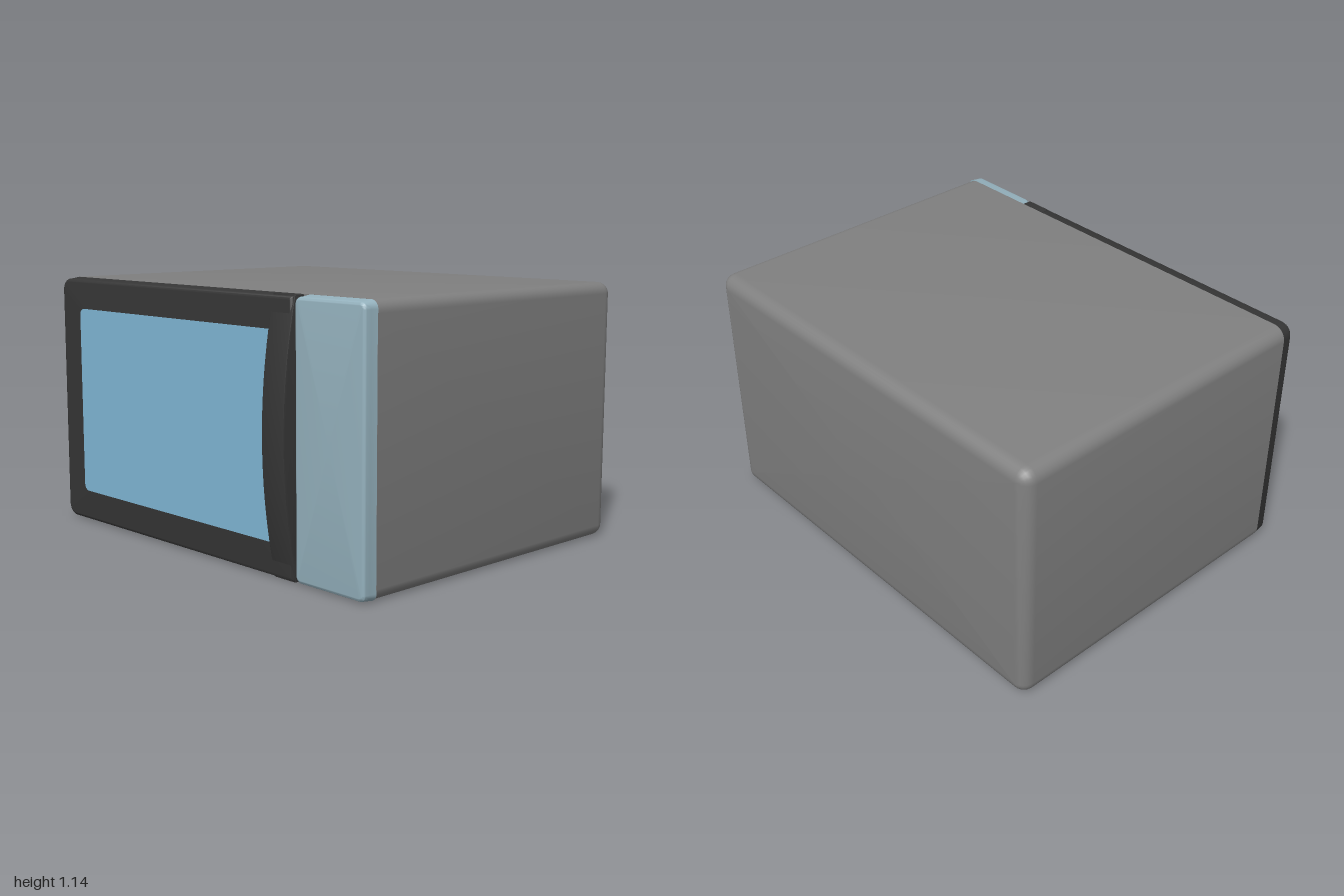
import * as THREE from 'three';
import { toCreasedNormals } from 'three/addons/utils/BufferGeometryUtils.js';

const SEG = 6;

// Points of a rounded rectangle, counter-clockwise; radii: bottom right, top right, top left, bottom left
function roundedRect(x0, x1, y0, y1, radii, inset) {
  const signs = [[1, -1], [1, 1], [-1, 1], [-1, -1]];
  const points = [];
  signs.forEach(([sx, sy], c) => {
    const r = Math.max(radii[c] - inset, 0.004);
    const cx = (sx > 0 ? x1 : x0) - sx * (inset + r);
    const cy = (sy > 0 ? y1 : y0) - sy * (inset + r);
    for (let i = 0; i <= SEG; i++) {
      const a = (c - 1 + i / SEG) * Math.PI / 2;
      points.push([cx + r * Math.cos(a), cy + r * Math.sin(a)]);
    }
  });
  return points;
}

// Solid lofted through rounded rectangles; rings are [z, inset] from back to front
function slab([x0, x1, y0, y1], radii, rings) {
  const positions = [];
  const index = [];
  const n = 4 * (SEG + 1);
  for (const [z, inset] of rings) {
    for (const [x, y] of roundedRect(x0, x1, y0, y1, radii, inset)) positions.push(x, y, z);
  }
  const back = rings.length * n;
  const front = back + 1;
  const cx = (x0 + x1) / 2;
  const cy = (y0 + y1) / 2;
  positions.push(cx, cy, rings[0][0], cx, cy, rings[rings.length - 1][0]);
  for (let i = 0; i < n; i++) {
    const j = (i + 1) % n;
    for (let k = 0; k < rings.length - 1; k++) {
      const a = k * n;
      const b = a + n;
      index.push(a + i, a + j, b + j, a + i, b + j, b + i);
    }
    const last = (rings.length - 1) * n;
    index.push(back, j, i, front, last + i, last + j);
  }
  const geometry = new THREE.BufferGeometry();
  geometry.setAttribute('position', new THREE.Float32BufferAttribute(positions, 3));
  geometry.setIndex(index);
  return toCreasedNormals(geometry, 0.6);
}

// Quarter-round edge as rings, at the back (dir -1) or the front (dir 1)
function roundEdge(z, r, dir) {
  const rings = [];
  for (let i = 0; i <= SEG; i++) {
    const a = (i / SEG) * Math.PI / 2;
    rings.push([z - dir * r * (1 - Math.sin(a)), r * (1 - Math.cos(a))]);
  }
  return dir < 0 ? rings.reverse() : rings;
}

export function createModel() {
  const group = new THREE.Group();
  const material = (name, color) => {
    const m = new THREE.MeshStandardMaterial({ color });
    m.name = name;
    return m;
  };
  const grey = material('casing grey', 0x808080);
  const black = material('door black', 0x363636);
  const blue = material('window blue', 0x80b7d6);
  const paleBlue = material('panel pale blue', 0x95b2be);

  const add = (name, geometry, mat) => {
    const mesh = new THREE.Mesh(geometry, mat);
    mesh.name = name;
    group.add(mesh);
  };

  const H = 1.14;

  // Casing with rounded back edges and a flat front
  add('casing', slab([-1, 1, 0, H], [0.05, 0.05, 0.06, 0.06],
    [...roundEdge(-0.8, 0.06, -1), [0.69, 0]]), grey);

  // Door slab with a softly tapered front edge
  add('door', slab([-1, 0.605, 0, H], [0.006, 0.006, 0.06, 0.06],
    [[0.688, 0], [0.72, 0.005], ...roundEdge(0.75, 0.015, 1).map(([z, i]) => [z, i + 0.006])]), black);

  // Window plate, running under the handle
  add('window', slab([-0.85, 0.49, 0.145, 1], [0.005, 0.005, 0.03, 0.03],
    [[0.747, 0], [0.752, 0]]), blue);

  // Control panel
  add('controlPanel', slab([0.607, 1, 0, H], [0.035, 0.035, 0.035, 0.035],
    [[0.688, 0], [0.72, 0.005], ...roundEdge(0.75, 0.015, 1).map(([z, i]) => [z, i + 0.006])]), paleBlue);

  // Full-height handle, bowed forward in profile (shape x is depth, y is height)
  const bevel = 0.006;
  const profile = new THREE.Shape();
  profile.moveTo(0.695, 0.007);
  profile.lineTo(0.73, 0.007);
  profile.quadraticCurveTo(0.858, H / 2, 0.73, H - 0.007);
  profile.lineTo(0.695, H - 0.007);
  profile.closePath();
  const handle = new THREE.ExtrudeGeometry(profile, {
    depth: 0.13 - 2 * bevel, curveSegments: 24,
    bevelEnabled: true, bevelSize: bevel, bevelThickness: bevel, bevelSegments: 2,
  });
  handle.rotateY(-Math.PI / 2);
  handle.translate(0.605 - bevel, 0, 0);
  add('handle', toCreasedNormals(handle, 0.6), black);

  return group;
}
